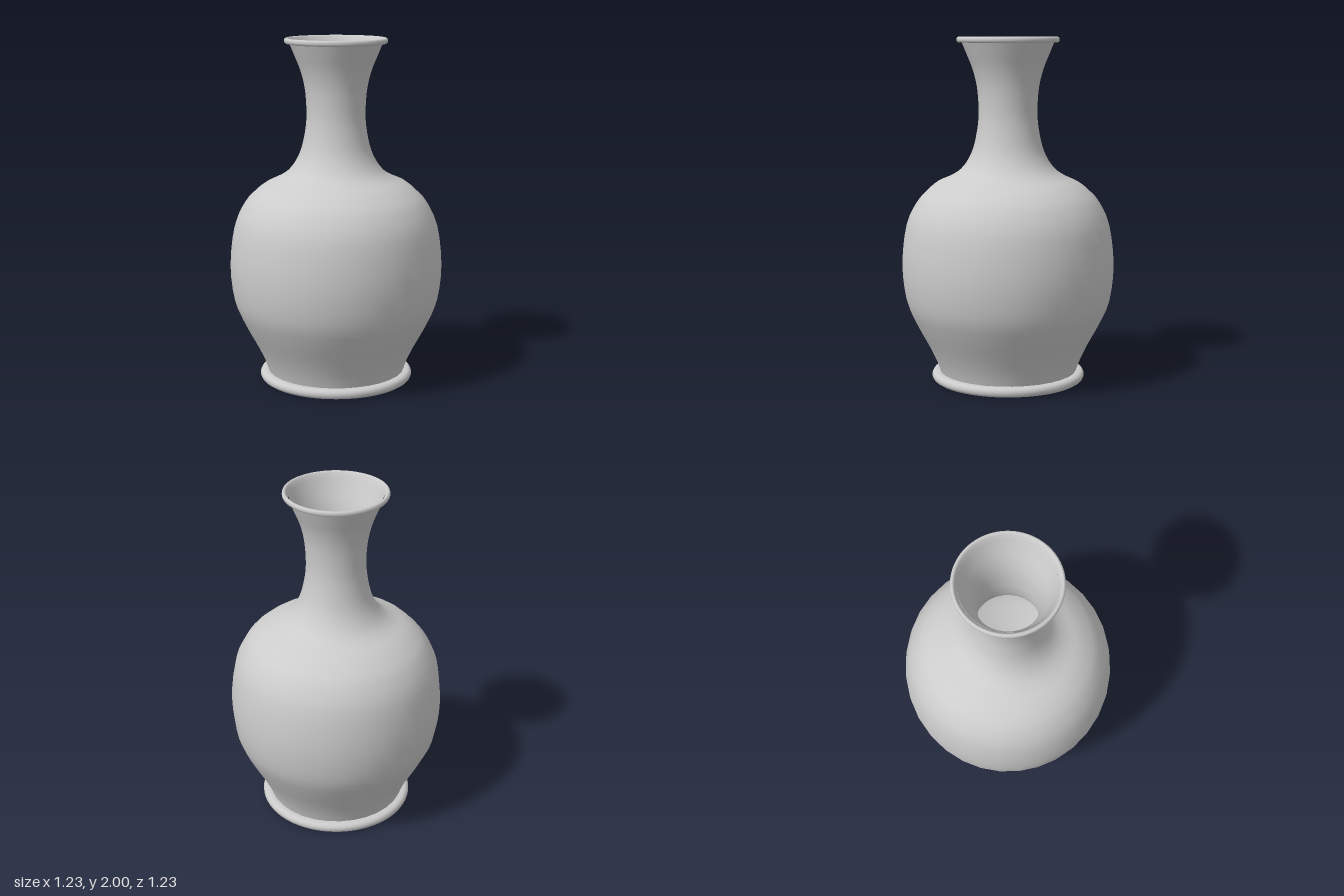
import * as THREE from 'three';

const material = new THREE.MeshStandardMaterial({ color: 0xcccccc });
const toPoints = (list) => list.map(([r, y]) => new THREE.Vector2(r, y));

function turned(name, points, sides) {
  const mesh = new THREE.Mesh(new THREE.LatheGeometry(points, sides), material);
  mesh.name = name;
  return mesh;
}

export function createModel() {
  const vase = new THREE.Group();
  vase.name = 'vase';

  // Swelling body rising into a flared neck
  const wall = new THREE.SplineCurve(toPoints([
    [0.40, 0.05], [0.425, 0.12], [0.47, 0.215], [0.54, 0.345], [0.595, 0.48],
    [0.617, 0.69], [0.59, 0.92], [0.53, 1.05], [0.47, 1.115], [0.40, 1.165],
    [0.33, 1.2], [0.275, 1.24], [0.23, 1.3], [0.197, 1.38], [0.174, 1.5],
    [0.17, 1.6], [0.18, 1.72], [0.205, 1.82], [0.237, 1.9], [0.268, 1.975],
  ])).getPoints(57);
  const body = turned('body', wall, 32);

  // Shoulders stand slightly fuller to the left and right
  const position = body.geometry.attributes.position;
  for (let i = 0; i < position.count; i++) {
    const swell = Math.max(0, 1 - Math.abs(position.getY(i) - 1.17) / 0.06);
    position.setX(i, position.getX(i) * (1 + 0.05 * swell));
  }
  vase.add(body);

  // Thin inner wall, running down from the mouth to the floor
  const inside = wall.map((p) => new THREE.Vector2(p.x - 0.006, p.y)).reverse();
  vase.add(turned('innerWall', inside, 32));

  const floor = new THREE.Mesh(new THREE.CircleGeometry(0.4, 32), material);
  floor.name = 'floor';
  floor.rotation.x = -Math.PI / 2;
  floor.position.y = 0.056;
  vase.add(floor);

  // Rounded lip around the mouth
  vase.add(turned('lip', toPoints([
    [0.262, 1.968], [0.283, 1.967], [0.291, 1.971], [0.295, 1.979], [0.295, 1.989],
    [0.291, 1.997], [0.284, 2.0], [0.277, 1.997], [0.272, 1.988], [0.262, 1.968],
  ]), 64));

  // Rounded foot with a flat underside
  vase.add(turned('foot', toPoints([
    [0, 0], [0.415, 0], [0.43, 0.001], [0.441, 0.008], [0.447, 0.02],
    [0.447, 0.034], [0.441, 0.046], [0.43, 0.053], [0.415, 0.055], [0.38, 0.055],
  ]), 64));

  return vase;
}
